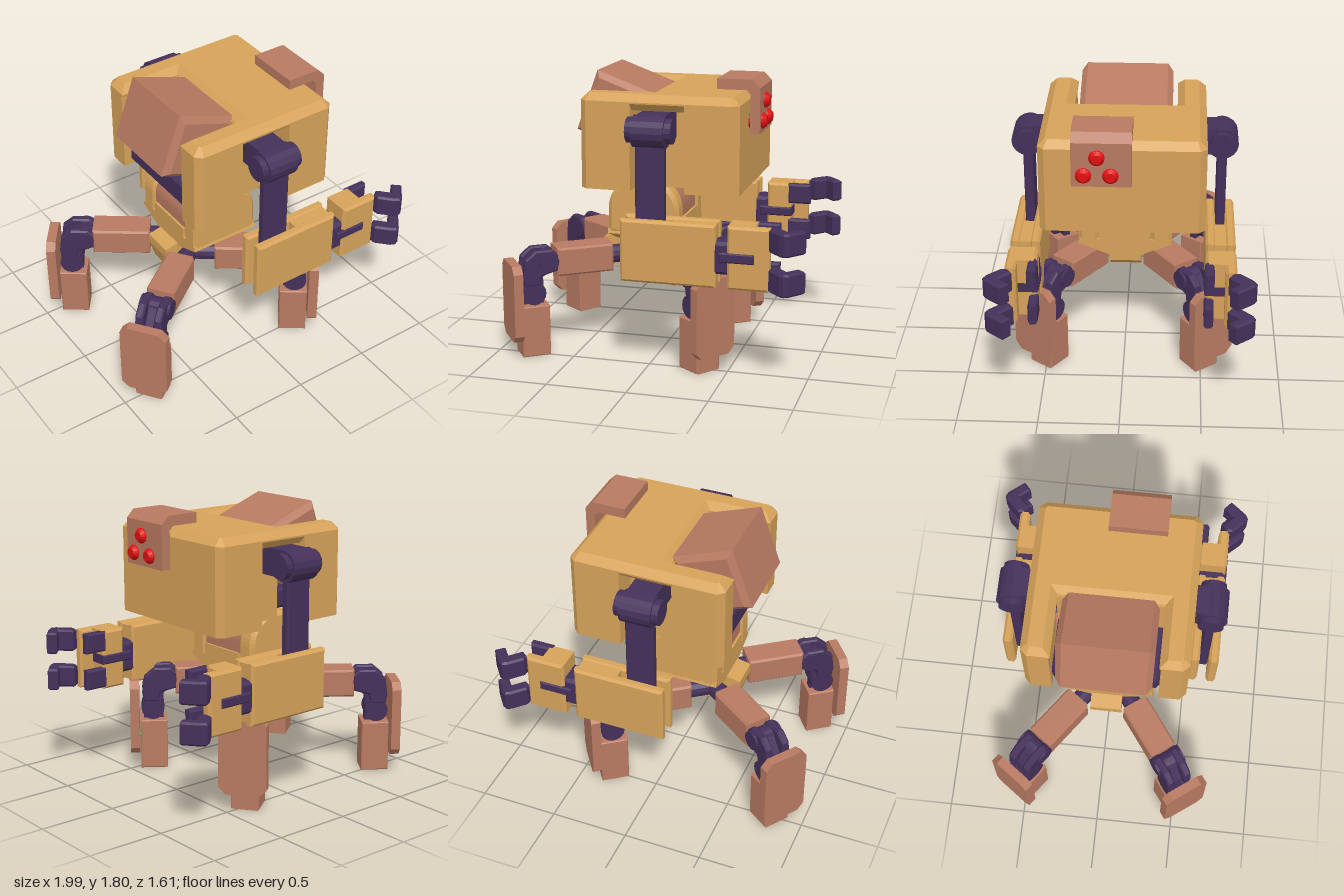
import * as THREE from 'three';

const mat = (color) => new THREE.MeshStandardMaterial({ color, flatShading: true });
const tan = mat(0xd6a259), clay = mat(0xb87a61), purple = mat(0x45305a), red = mat(0xe01010);

function add(parent, name, geometry, material, x = 0, y = 0, z = 0) {
  const mesh = new THREE.Mesh(geometry, material);
  mesh.name = name;
  mesh.position.set(x, y, z);
  parent.add(mesh);
  return mesh;
}

const poly = (points) => new THREE.Shape(points.map(([a, b]) => new THREE.Vector2(a, b)));

// Outline extruded along z, centred, with chamfered rims that stay inside the outline
function slab(shape, depth, c = 0) {
  const g = new THREE.ExtrudeGeometry(shape, {
    depth: depth - 2 * c, bevelEnabled: c > 0, bevelSize: c, bevelThickness: c,
    bevelOffset: -c, bevelSegments: 1, curveSegments: 6,
  });
  return g.translate(0, 0, -(depth - 2 * c) / 2);
}

// Rectangle with cut corners
function cutRect(w, h, k) {
  const a = w / 2, b = h / 2;
  return poly([[-a + k, -b], [a - k, -b], [a, -b + k], [a, b - k],
    [a - k, b], [-a + k, b], [-a, b - k], [-a, -b + k]]);
}

const block = (w, h, d, c = 0.015) =>
  slab(poly([[-w / 2, -h / 2], [w / 2, -h / 2], [w / 2, h / 2], [-w / 2, h / 2]]), d, c);

// Block given by its limits
function span(parent, name, material, [x0, x1], [y0, y1], [z0, z1], c) {
  return add(parent, name, block(x1 - x0, y1 - y0, z1 - z0, c), material,
    (x0 + x1) / 2, (y0 + y1) / 2, (z0 + z1) / 2);
}

// Cylinders lying along z or x
const rodZ = (r, len, n = 16) => new THREE.CylinderGeometry(r, r, len, n).rotateX(Math.PI / 2);
const rodX = (r, len, n = 16) => new THREE.CylinderGeometry(r, r, len, n).rotateZ(Math.PI / 2);

// Upright slab with a rounded top
function arch(x0, x1, y0, y1, r) {
  const s = new THREE.Shape();
  s.moveTo(x0, y0);
  s.lineTo(x1, y0);
  s.lineTo(x1, y1 - r);
  s.absarc(x1 - r, y1 - r, r, 0, Math.PI / 2, false);
  s.lineTo(x0 + r, y1);
  s.absarc(x0 + r, y1 - r, r, Math.PI / 2, Math.PI, false);
  return s;
}

function buildHull() {
  const g = new THREE.Group();
  g.name = 'hull';
  const upright = (shape, h) => slab(shape, h).rotateX(-Math.PI / 2);
  // Front block, narrowed behind to leave the arm recesses
  add(g, 'hullCore', upright(poly([[-0.05, -0.33], [0.22, -0.33], [0.22, -0.5], [0.51, -0.5], [0.55, -0.46],
    [0.55, 0.46], [0.51, 0.5], [0.22, 0.5], [0.22, 0.33], [-0.05, 0.33]]), 0.54), tan, 0, 1.37, 0);
  // Rear side walls
  for (const s of [-1, 1]) {
    add(g, 'rearWall', upright(poly([[-0.44, 0.33 * s], [-0.12, 0.33 * s], [-0.12, 0.5 * s],
      [-0.4, 0.5 * s], [-0.44, 0.46 * s]]), 0.54), tan, 0, 1.37, 0);
  }
  // Roof with a rear slot
  const roof = poly([[-0.44, -0.46], [-0.4, -0.5], [0.51, -0.5], [0.55, -0.46], [0.55, 0.46], [0.51, 0.5],
    [-0.4, 0.5], [-0.44, 0.46], [-0.44, 0.32], [-0.04, 0.32], [-0.04, -0.32], [-0.44, -0.32]]);
  add(g, 'roof', slab(roof, 0.1, 0.045).rotateX(-Math.PI / 2), tan, 0, 1.64, 0);
  // Tilted rear hatch and the bar under it
  add(g, 'hatch', block(0.4, 0.4, 0.58, 0.035), clay, -0.28, 1.54, 0).rotation.z = -0.35;
  span(g, 'rearBar', purple, [-0.4, -0.04], [1.16, 1.29], [-0.33, 0.33], 0.02);
  return g;
}

function buildSensor() {
  const g = new THREE.Group();
  g.name = 'sensor';
  add(g, 'sensorBracket', slab(poly([[0.37, 1.715], [0.55, 1.715], [0.575, 1.69], [0.575, 1.45], [0.635, 1.45],
    [0.635, 1.73], [0.585, 1.78], [0.37, 1.78]]), 0.355), clay, 0, 0, 0.117);
  for (const [y, z] of [[1.638, 0.143], [1.523, 0.222], [1.523, 0.063]]) {
    add(g, 'eyeRim', rodX(0.048, 0.085), red, 0.602, y, z);
    add(g, 'eyeLens', new THREE.CylinderGeometry(0.03, 0.048, 0.022, 16).rotateZ(-Math.PI / 2), red, 0.655, y, z);
  }
  return g;
}

function buildTorso() {
  const g = new THREE.Group();
  g.name = 'torso';
  for (const s of [-1, 1]) {
    add(g, 'torsoCheek', slab(arch(-0.33, 0.13, 0.77, 1.13, 0.2), 0.135, 0.025), tan, 0, 0, 0.2325 * s);
  }
  add(g, 'torsoCore', slab(arch(-0.315, 0.115, 0.865, 1.12, 0.19), 0.34), clay);
  // Hopper narrowing to the waist
  add(g, 'waist', slab(poly([[-0.3, 0.77], [-0.1, 0.69], [0.1, 0.69], [0.3, 0.77], [0.29, 0.8],
    [0.165, 0.8], [0.165, 0.87], [-0.165, 0.87], [-0.165, 0.8], [-0.29, 0.8]]), 0.46)
    .rotateY(Math.PI / 2), tan, -0.1, 0, 0);
  add(g, 'pelvis', slab(poly([[-0.33, 0.71], [0.1, 0.71], [0.1, 0.63], [-0.08, 0.505], [-0.38, 0.505],
    [-0.42, 0.63], [-0.42, 0.69]]), 0.2), tan);
  return g;
}

// Leg pointing along its own +x
function buildLeg() {
  const g = new THREE.Group();
  g.name = 'leg';
  add(g, 'hip', rodX(0.06, 0.2, 12), purple, 0.26, 0.6, 0);
  span(g, 'thigh', clay, [0.31, 0.68], [0.51, 0.69], [-0.09, 0.09], 0.012);
  // Forked knee: arched prongs around a middle link
  const fork = poly([[0.67, 0.55], [0.67, 0.65], [0.71, 0.685], [0.82, 0.685], [0.885, 0.63],
    [0.9, 0.52], [0.89, 0.46], [0.79, 0.46], [0.78, 0.52]]);
  const link = poly([[0.76, 0.32], [0.76, 0.5], [0.7, 0.55], [0.73, 0.65], [0.8, 0.65], [0.87, 0.56],
    [0.89, 0.44], [0.89, 0.32]]);
  for (const s of [-1, 1]) add(g, 'kneeFork', slab(fork, 0.05, 0.01), purple, 0, 0, 0.06 * s);
  add(g, 'kneeLink', slab(link, 0.05), purple);
  add(g, 'kneePin', rodZ(0.062, 0.2), purple, 0.735, 0.61, 0);
  add(g, 'anklePin', rodZ(0.075, 0.16), purple, 0.83, 0.41, 0);
  span(g, 'foot', clay, [0.736, 0.914], [0, 0.33], [-0.089, 0.089], 0.006);
  add(g, 'shinPlate', slab(cutRect(0.3, 0.495, 0.045), 0.06).rotateY(Math.PI / 2), clay, 0.95, 0.362, 0);
  return g;
}

// Arm on the +z side
function buildArm() {
  const g = new THREE.Group();
  g.name = 'arm';
  span(g, 'shoulderMount', purple, [-0.05, 0.13], [1.42, 1.59], [0.32, 0.6], 0.02);
  add(g, 'shoulder', rodX(0.098, 0.2), purple, 0.04, 1.495, 0.6);
  add(g, 'shoulderCap', rodX(0.078, 0.28), purple, 0.04, 1.5, 0.6);
  span(g, 'upperArm', purple, [-0.05, 0.13], [0.68, 1.5], [0.57, 0.63], 0.01);
  // Forearm: solid front with two plates around the upper arm
  span(g, 'forearmPlate', tan, [-0.13, 0.46], [0.585, 0.97], [0.508, 0.571], 0.015);
  span(g, 'forearmPlate', tan, [-0.13, 0.46], [0.585, 0.97], [0.629, 0.692], 0.015);
  span(g, 'forearmCore', tan, [0.19, 0.45], [0.595, 0.96], [0.55, 0.65], 0);
  span(g, 'wrist', purple, [0.44, 0.54], [0.67, 0.87], [0.51, 0.685], 0.02);
  // Hand with a grip bar wrapped around it
  span(g, 'palm', tan, [0.53, 0.69], [0.585, 0.97], [0.508, 0.692], 0.015);
  span(g, 'handPlate', tan, [0.6, 0.785], [0.585, 0.97], [0.625, 0.692], 0.015);
  span(g, 'gripBar', purple, [0.48, 0.695], [0.75, 0.81], [0.5, 0.702], 0.008);
  const finger = poly([[0.785, 0.67], [0.83, 0.64], [0.895, 0.71], [0.95, 0.645], [1, 0.69],
    [0.92, 0.79], [0.89, 0.805], [0.86, 0.79], [0.785, 0.71]]);
  for (const y of [0.665, 0.905]) {
    add(g, 'finger', slab(finger, 0.14, 0.012).rotateX(Math.PI / 2), purple, 0, y, 0);
    add(g, 'knuckle', new THREE.CylinderGeometry(0.042, 0.042, 0.12, 12), purple, 0.89, y, 0.757);
    span(g, 'thumb', purple, [0.67, 0.82], [y - 0.065, y + 0.065], [0.5, 0.558], 0.012);
  }
  return g;
}

export function createModel() {
  const model = new THREE.Group();
  model.name = 'walkerRobot';
  model.add(buildHull(), buildSensor(), buildTorso());
  // Four splayed legs
  for (const sx of [-1, 1]) {
    for (const sz of [-1, 1]) {
      const leg = buildLeg();
      leg.position.x = sx < 0 ? -0.108 : -0.352;
      leg.rotation.y = Math.atan2(-0.588 * sz, 0.809 * sx);
      model.add(leg);
    }
  }
  // Mirrored arms
  for (const s of [1, -1]) {
    const arm = buildArm();
    arm.scale.z = s;
    model.add(arm);
  }
  return model;
}
